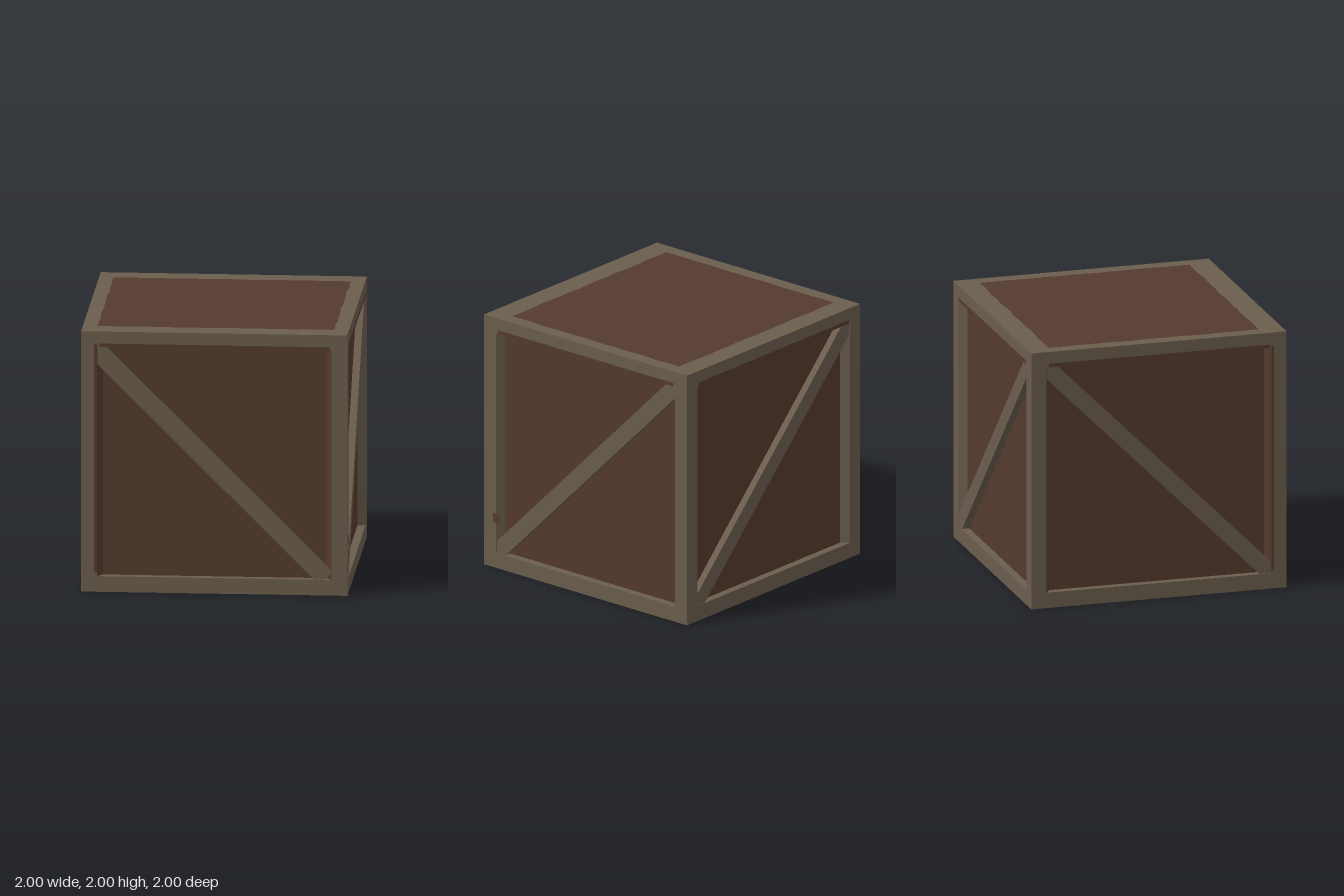
import * as THREE from 'three';

const timber = new THREE.MeshStandardMaterial({ color: 0x6a5d4d });
timber.name = 'greyTimber';
const board = new THREE.MeshStandardMaterial({ color: 0x543a2d });
board.name = 'brownBoard';

const IN = 0.88;   // half size of the side openings
const BACK = 0.84; // half width of the recessed board
const DEEP = 0.94; // distance of the recessed board from the centre

function add(parent, name, geometry, material) {
  const mesh = new THREE.Mesh(geometry, material);
  mesh.name = name;
  parent.add(mesh);
  return mesh;
}

const toShape = (pts) => new THREE.Shape(pts.map(([x, y]) => new THREE.Vector2(x, y)));
const rect = (x0, y0, x1, y1) => [[x0, y0], [x1, y0], [x1, y1], [x0, y1]];

// Flat square with a hole
function ring(hole) {
  const shape = toShape(rect(-1, -1, 1, 1));
  shape.holes.push(toShape(hole));
  return new THREE.ShapeGeometry(shape);
}

// Single flat four-cornered face
function quad(...corners) {
  const g = new THREE.BufferGeometry();
  g.setAttribute('position', new THREE.Float32BufferAttribute(corners.flat(), 3));
  g.setIndex([0, 1, 2, 0, 2, 3]);
  g.computeVertexNormals();
  return g;
}

// Rectangle outline with slightly worn, wavy edges
function wornRect(x0, y0, x1, y1) {
  const corners = rect(x0, y0, x1, y1);
  const pts = [];
  corners.forEach(([ax, ay], side) => {
    const [bx, by] = corners[(side + 1) % 4];
    for (let i = 0; i < 16; i++) {
      const t = i / 16;
      const w = i === 0 ? 0 : 0.004 * Math.sin(i * 2.3 + side) + 0.003 * Math.sin(i * 5.1);
      pts.push([ax + (bx - ax) * t + (side % 2 ? w : 0), ay + (by - ay) * t + (side % 2 ? 0 : w)]);
    }
  });
  return pts;
}

// Diagonal brace from upper left to lower right; hi and lo are the edge lines x + y
function brace(hi, lo, trimmed) {
  const end = trimmed ? [[IN, -0.83], [0.83, -IN]] : [[IN, -IN]];
  const pts = [[-IN, IN], [-IN, lo + IN], [lo + IN, -IN], ...end.reverse(), [IN, hi - IN], [hi - IN, IN]];
  return new THREE.ExtrudeGeometry(toShape(pts), { depth: 0.055, bevelEnabled: false });
}

// One recessed side, built facing +z around the centre of the crate
function makeSide({ name, turn, walls, rising, hi = 0.09, lo = -0.09, trimmed, worn }) {
  const side = new THREE.Group();
  side.name = name;
  add(side, 'frame', ring(rect(-IN, -IN, IN, IN)), timber).position.z = 1;
  add(side, 'recessedBoard', new THREE.PlaneGeometry(BACK * 2, IN * 2), board).position.z = DEEP;

  // Reveals between the frame and the board
  add(side, 'leftReveal', quad([-IN, -IN, 1], [-BACK, -IN, DEEP], [-BACK, IN, DEEP], [-IN, IN, 1]), walls);
  add(side, 'rightReveal', quad([BACK, -IN, DEEP], [IN, -IN, 1], [IN, IN, 1], [BACK, IN, DEEP]), walls);
  add(side, 'bottomReveal', quad([-IN, -IN, 1], [IN, -IN, 1], [BACK, -IN, DEEP], [-BACK, -IN, DEEP]), timber);
  add(side, 'topReveal', quad([-BACK, IN, DEEP], [BACK, IN, DEEP], [IN, IN, 1], [-IN, IN, 1]), board);

  // Diagonal brace, turned a quarter where it rises to the right
  const bar = add(side, 'diagonalBrace', brace(hi, lo, trimmed), timber);
  bar.position.z = DEEP;
  if (rising) bar.rotation.z = Math.PI / 2;

  // Worn brown strips on the frame
  const strip = (x0, y0, x1, y1) =>
    add(side, 'wornStrip', new THREE.ShapeGeometry(toShape(rect(x0, y0, x1, y1))), board).position.z = 1.001;
  strip(-0.86, IN, 0.87, 0.908);
  worn.forEach((r) => strip(...r));

  side.rotation.y = turn;
  side.position.y = 1;
  return side;
}

export function createModel() {
  const crate = new THREE.Group();
  crate.name = 'crate';

  const sides = [
    { name: 'frontSide', turn: 0, walls: board, hi: 0.06, lo: -0.13, trimmed: true, worn: [[-0.902, -0.85, -IN, 0.9]] },
    { name: 'leftSide', turn: Math.PI / 2, walls: timber, rising: true, worn: [[-0.91, -0.64, -0.84, -0.565]] },
    { name: 'backSide', turn: Math.PI, walls: timber, rising: true, worn: [] },
    { name: 'rightSide', turn: -Math.PI / 2, walls: board, worn: [[IN, -0.85, 0.9, 0.9]] },
  ];
  sides.forEach((s) => crate.add(makeSide(s)));

  // Flat top and bottom: timber border around a brown board
  const caps = [
    ['top', 2, -Math.PI / 2, wornRect(-0.89, -0.815, 0.89, 0.83)],
    ['bottom', 0, Math.PI / 2, wornRect(-0.82, -0.81, 0.82, 0.81)],
  ];
  for (const [name, y, tilt, outline] of caps) {
    const cap = new THREE.Group();
    cap.name = name;
    add(cap, name + 'Border', ring(outline), timber);
    add(cap, name + 'Board', new THREE.ShapeGeometry(toShape(outline)), board);
    cap.rotation.x = tilt;
    cap.position.y = y;
    crate.add(cap);
  }
  return crate;
}
